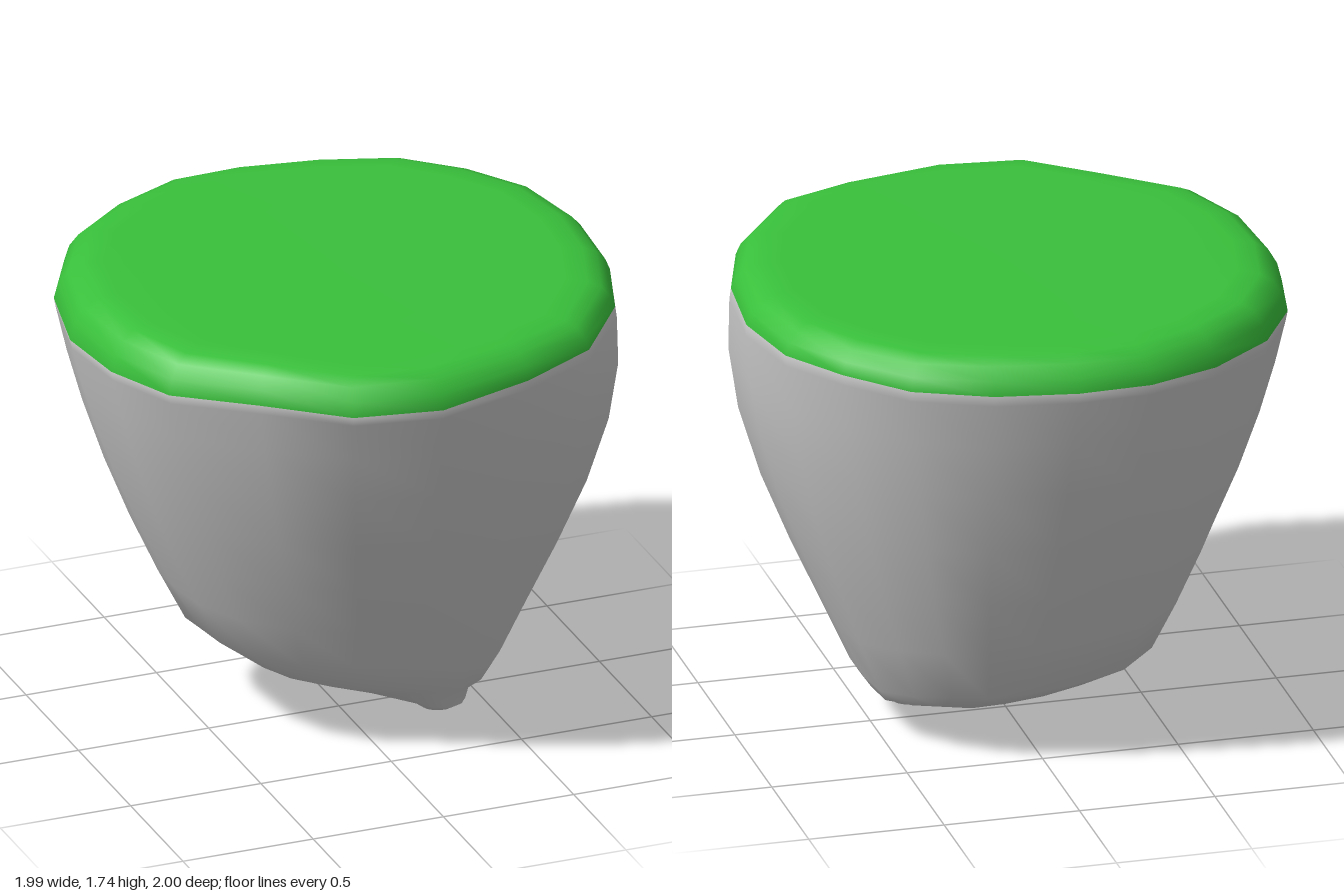
import * as THREE from 'three';
import { mergeVertices } from 'three/addons/utils/BufferGeometryUtils.js';

// Rim of the grass [x, y, z], running from the back round by +x
const rim = [
  [0, 1.61, -1], [0.3, 1.61, -0.95], [0.58, 1.62, -0.85], [0.78, 1.63, -0.66], [0.93, 1.63, -0.43],
  [0.99, 1.63, -0.12], [0.96, 1.64, 0.2], [0.86, 1.64, 0.5], [0.64, 1.64, 0.8], [0.36, 1.62, 0.92],
  [0, 1.6, 1], [-0.33, 1.61, 0.96], [-0.6, 1.61, 0.74], [-0.86, 1.6, 0.52], [-0.97, 1.59, 0.24],
  [-0.995, 1.575, -0.09], [-0.93, 1.59, -0.41], [-0.78, 1.6, -0.68], [-0.54, 1.6, -0.87], [-0.27, 1.61, -0.99],
].map((p) => new THREE.Vector3(...p));

// Lower edge of the rock walls, matching the rim point for point
const foot = [
  [0.05, 0.26, -0.51], [0.2, 0.25, -0.5], [0.32, 0.25, -0.45], [0.43, 0.22, -0.34], [0.52, 0.2, -0.21],
  [0.54, 0.2, -0.05], [0.55, 0.21, 0.1], [0.53, 0.22, 0.22], [0.46, 0.22, 0.31], [0.34, 0.25, 0.37],
  [0.12, 0.32, 0.43], [-0.1, 0.35, 0.43], [-0.28, 0.36, 0.36], [-0.42, 0.37, 0.23], [-0.49, 0.37, 0.08],
  [-0.51, 0.37, -0.06], [-0.51, 0.35, -0.2], [-0.45, 0.31, -0.33], [-0.32, 0.28, -0.43], [-0.13, 0.27, -0.49],
].map((p) => new THREE.Vector3(...p));

const tip = new THREE.Vector3(0.33, 0, 0.14);
const ridge = new THREE.Vector2(0.92, 0.4).normalize();
const n = rim.length;

// Grass: rings from the centre of the top out and down to the rim [scale, height above rim to top]
const grassRings = [[0, 1], [0.5, 1], [0.82, 0.99], [0.9, 0.92], [0.95, 0.74], [0.983, 0.4], [1, 0]]
  .map(([s, h]) => rim.map((p) => new THREE.Vector3(p.x * s, THREE.MathUtils.lerp(p.y, 1.74, h), p.z * s)));

// Rock walls: rim to foot with an outward bulge, plus a high swelling along the ridge
const wallRings = [0.03, 0.16, 0.32, 0.5, 0.68, 0.85, 1].map((t) => rim.map((p, i) => {
  const out = new THREE.Vector2(p.x, p.z).normalize();
  const swell = 6.75 * t * (1 - t) ** 2 * 0.07 * Math.max(0, out.dot(ridge)) ** 4;
  const bulge = 4 * t * (1 - t) * (0.055 - 0.015 * Math.max(0, out.y)) + swell;
  const v = p.clone().lerp(foot[i], t);
  v.x += out.x * bulge;
  v.z += out.y * bulge;
  return v;
}));

// Underside: in from the foot, then a blunt hanging knob around the tip
const underRings = [
  (d, y) => [0.8 * d, 0.67 * y],
  (d, y) => [0.5 * d, 0.43 * y],
  (d) => [0.07 + 0.1 * d, 0.02 + 0.07 * d],
  (d) => [0.05 + 0.02 * d, 0.012],
  () => [0, 0],
].map((rule) => foot.map((p) => {
  const dir = new THREE.Vector2(p.x - tip.x, p.z - tip.z);
  const [r, y] = rule(dir.length(), p.y);
  dir.setLength(r);
  return new THREE.Vector3(tip.x + dir.x, y, tip.z + dir.y);
}));

// Skin through all rings, welded at the two poles
function loft(rings) {
  const index = [];
  for (let r = 0; r < rings.length - 1; r++) {
    for (let i = 0; i < n; i++) {
      const a = r * n + i, b = r * n + (i + 1) % n;
      index.push(a, b, a + n, b, b + n, a + n);
    }
  }
  let g = new THREE.BufferGeometry().setFromPoints(rings.flat());
  g.setIndex(index);
  g = mergeVertices(g, 1e-5);
  g.computeVertexNormals();
  return g;
}

// Cut a run of triangles from the skin, keeping its smooth normals across the seam
function part(skin, start, end, name, color) {
  const g = skin.clone();
  g.setIndex(Array.from(skin.index.array).slice(start, end));
  const mesh = new THREE.Mesh(g.toNonIndexed(), new THREE.MeshStandardMaterial({ color }));
  mesh.name = name;
  return mesh;
}

export function createModel() {
  const group = new THREE.Group();
  group.name = 'floatingIsland';
  const skin = loft([...grassRings, ...wallRings, ...underRings]);
  const seam = (grassRings.length - 1) * n * 6;
  group.add(part(skin, 0, seam, 'grassTop', 0x39c03b));
  group.add(part(skin, seam, undefined, 'rockBase', 0xcccccc));
  return group;
}
